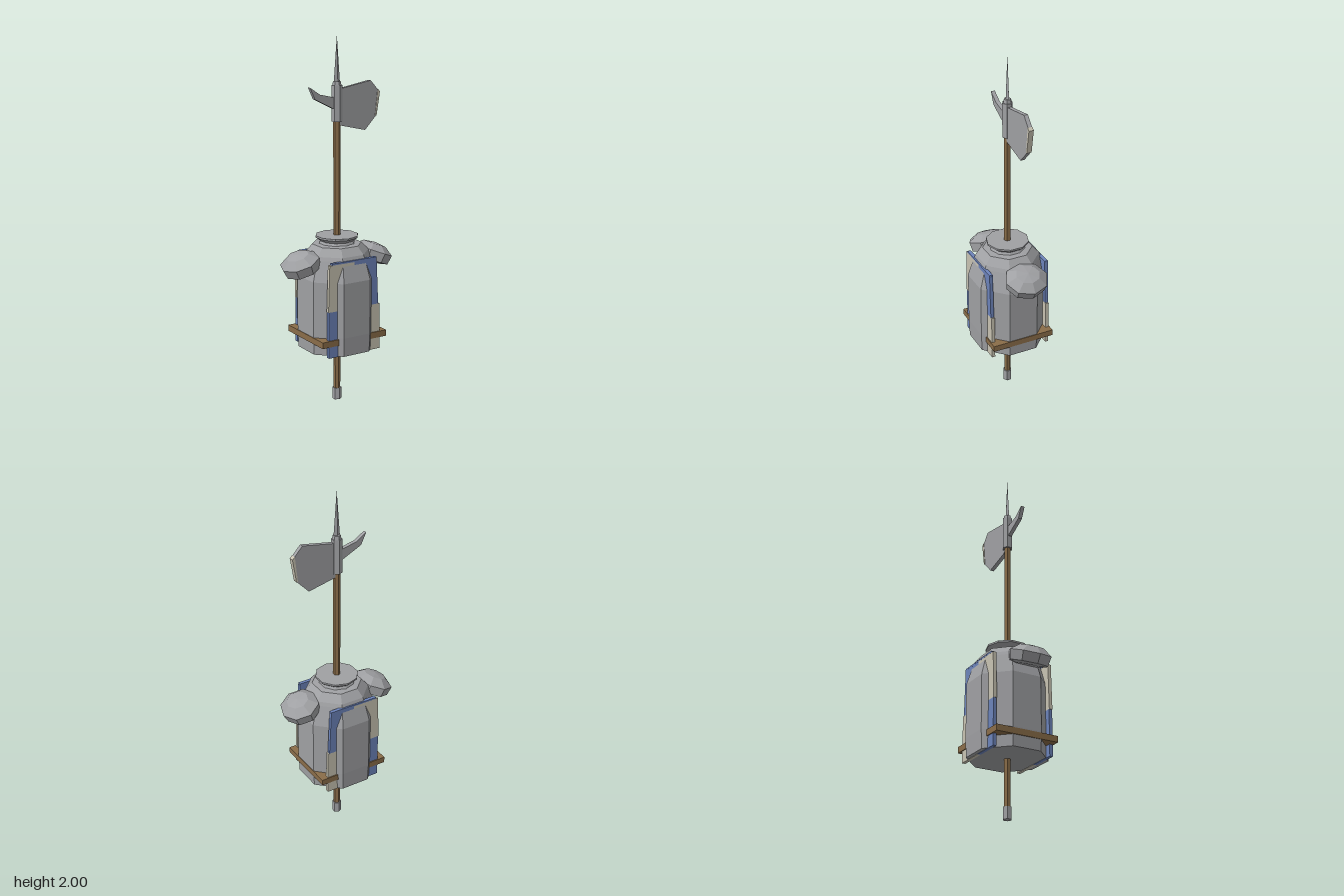
import * as THREE from 'three';

const mat = (name, color) => {
  const m = new THREE.MeshStandardMaterial({ color, flatShading: true });
  m.name = name;
  return m;
};

export function createModel() {
  const model = new THREE.Group();
  model.name = 'halberdGuard';
  const steel = mat('steel', 0x9fa0a3);
  const blue = mat('blue cloth', 0x6c83ba);
  const cream = mat('cream cloth', 0xc8c3b2);
  const brown = mat('brown wood', 0x8a6d49);

  const add = (name, geo, material, x = 0, y = 0, z = 0) => {
    const mesh = new THREE.Mesh(geo, material);
    mesh.name = name;
    mesh.position.set(x, y, z);
    model.add(mesh);
    return mesh;
  };
  const lathe = (pts, sides, turn = 0) =>
    new THREE.LatheGeometry(pts.map(p => new THREE.Vector2(p[0], p[1])), sides, turn);
  // flat outline in x, y with a thickness centred on z = 0
  const plate = (pts, depth) => {
    const shape = new THREE.Shape(pts.map(p => new THREE.Vector2(p[0], p[1])));
    const geo = new THREE.ExtrudeGeometry(shape, { depth, bevelEnabled: false });
    geo.translate(0, 0, -depth / 2);
    return geo;
  };
  const rod = (name, r1, r0, y0, y1, material, sides = 6) =>
    add(name, new THREE.CylinderGeometry(r1, r0, y1 - y0, sides), material, 0, (y0 + y1) / 2, 0);

  // octagonal breastplate with a flat front; the profile gives distances to the faces
  const k = 1 / Math.cos(Math.PI / 8);
  const body = [[0, 0.317], [0.196, 0.317], [0.2, 0.42], [0.2, 0.72], [0.168, 0.83],
    [0.16, 0.85], [0.125, 0.892], [0, 0.905]].map(([r, y]) => [r * k, y]);
  add('breastplate', lathe(body, 8, Math.PI / 8), steel);

  // flared collar with a closed top
  add('collar', lathe([[0.105, 0.885], [0.09, 0.908], [0.117, 0.928], [0.117, 0.938], [0, 0.938]], 10), steel);

  // tilted, faceted shoulder plates
  const pad = lathe([[0, -0.05], [0.06, -0.05], [0.098, -0.04], [0.107, 0.012], [0.06, 0.048], [0, 0.056]], 8);
  for (const s of [1, -1]) {
    const p = add(s > 0 ? 'leftShoulderPlate' : 'rightShoulderPlate', pad, steel, s * 0.23, 0.81, 0);
    p.rotation.z = -s * 0.38;
    p.scale.z = 1.12;
  }

  // quartered tabard, front and back
  const quarters = [
    ['upperRightCloth', cream, [[-0.163, 0.57], [0, 0.57], [0, 0.824], [-0.155, 0.824]]],
    ['upperLeftCloth', blue, [[0, 0.57], [0.153, 0.57], [0.141, 0.824], [0, 0.824]]],
    ['lowerRightCloth', blue, [[-0.16, 0.315], [0, 0.315], [0, 0.57], [-0.16, 0.57]]],
    ['lowerLeftCloth', cream, [[0, 0.315], [0.165, 0.315], [0.162, 0.57], [0, 0.57]]],
  ];
  for (const [side, z] of [['front', 0.165], ['back', -0.165]]) {
    for (const [name, material, pts] of quarters) add(side + name, plate(pts, 0.019), material, 0, 0, z);
    add(side + 'ClothTop', new THREE.BoxGeometry(0.28, 0.009, 0.02), blue, 0, 0.8285, z);
  }

  // square belt, its corners standing out from the armour
  add('belt', new THREE.BoxGeometry(0.406, 0.034, 0.36), brown, 0, 0.396, 0);

  // polearm
  rod('shaft', 0.019, 0.019, 0.03, 1.73, brown);
  rod('shaftFoot', 0.025, 0.025, 0, 0.065, steel);
  rod('headSocket', 0.029, 0.029, 1.55, 1.74, steel);
  rod('spikeCollar', 0.02, 0.024, 1.74, 1.76, steel);
  const spike = rod('spike', 0, 0.019, 1.755, 2, steel, 4);
  spike.scale.z = 0.5;

  add('axeBlade', plate([[0.01, 1.535], [0.02, 1.527], [0.172, 1.492], [0.243, 1.566],
    [0.263, 1.693], [0.206, 1.755], [0.01, 1.72]], 0.022), steel);
  add('bladeEdge', plate([[0.236, 1.566], [0.244, 1.564], [0.265, 1.694], [0.251, 1.707]], 0.027), cream);
  add('backHook', plate([[-0.01, 1.625], [-0.01, 1.675], [-0.03, 1.68], [-0.11, 1.698],
    [-0.17, 1.737], [-0.14, 1.674], [-0.03, 1.62]], 0.022), steel);

  return model;
}
